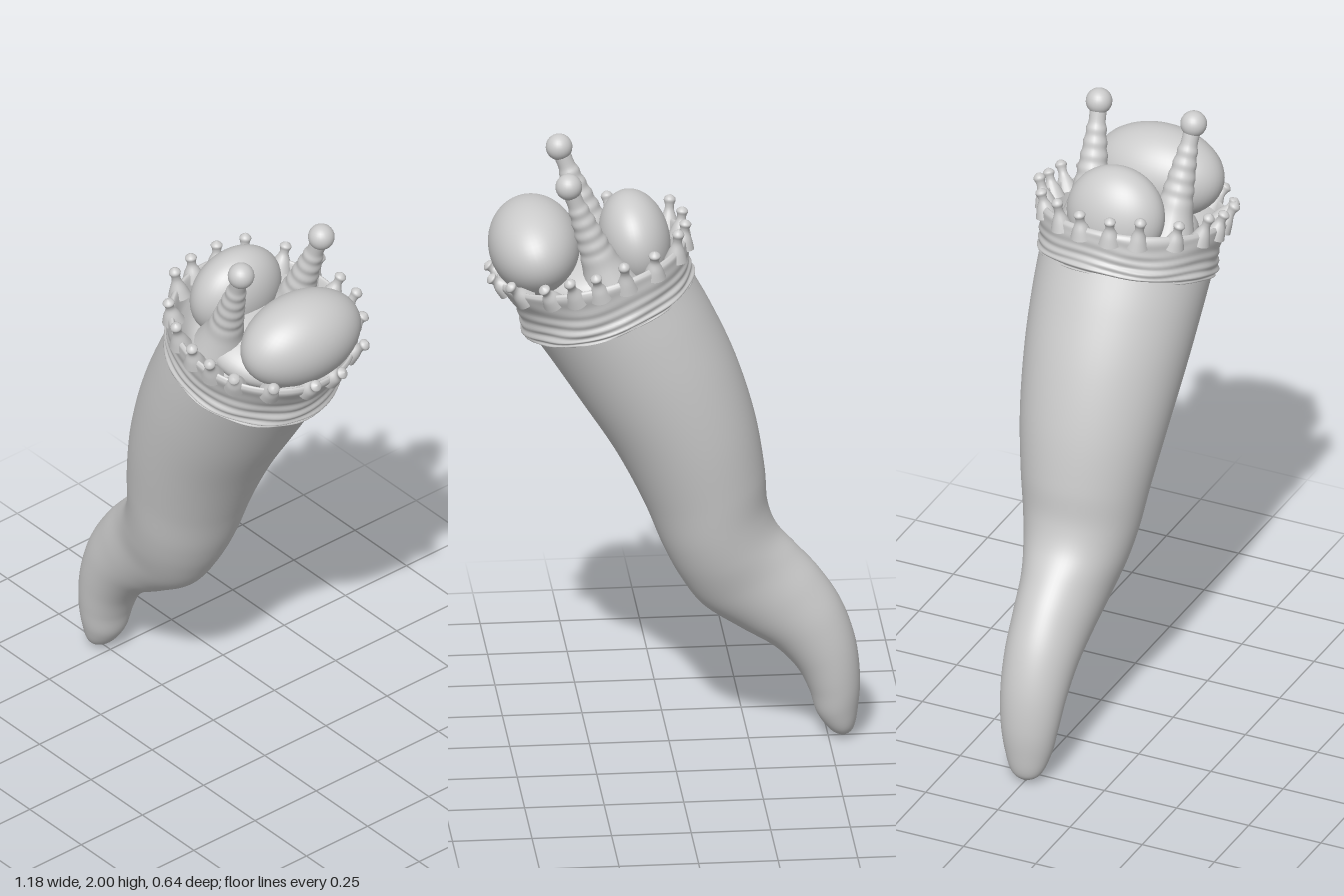
import * as THREE from 'three';

const material = new THREE.MeshStandardMaterial({ color: 0xcccccc, side: THREE.DoubleSide });

// Smooth loft through elliptical rings given as [leftX, leftY, rightX, rightY, halfDepth].
function loft(rings, steps, sides, ripple = () => 1) {
  const left = new THREE.CatmullRomCurve3(rings.map(r => new THREE.Vector3(r[0], r[1], r[4])));
  const right = new THREE.CatmullRomCurve3(rings.map(r => new THREE.Vector3(r[2], r[3], 0)));
  const pos = [], index = [];
  for (let i = 0; i <= steps; i++) {
    const t = i / steps, l = left.getPoint(t), r = right.getPoint(t);
    for (let j = 0; j < sides; j++) {
      const a = (j / sides) * Math.PI * 2, s = ripple(a, t), c = Math.cos(a) * s;
      pos.push((l.x + r.x) / 2 + c * (r.x - l.x) / 2,
        (l.y + r.y) / 2 + c * (r.y - l.y) / 2, Math.sin(a) * s * l.z);
      if (i < steps) {
        const k = (j + 1) % sides, p = i * sides, q = p + sides;
        index.push(p + j, q + j, q + k, p + j, q + k, p + k);
      }
    }
  }
  const geo = new THREE.BufferGeometry();
  geo.setAttribute('position', new THREE.Float32BufferAttribute(pos, 3));
  geo.setIndex(index);
  geo.computeVertexNormals();
  return geo;
}

// Round stalk from a [radius, height] profile, standing at base and pointing along dir.
function stalk(profile, base, dir, name) {
  const curve = new THREE.SplineCurve(profile.map(([r, h]) => new THREE.Vector2(r, h)));
  const pts = curve.getPoints(profile.length * 4);
  pts.forEach(p => { p.x = Math.max(p.x, 0); });
  const mesh = new THREE.Mesh(new THREE.LatheGeometry(pts, 20), material);
  mesh.position.copy(base);
  mesh.quaternion.setFromUnitVectors(new THREE.Vector3(0, 1, 0), dir.clone().normalize());
  mesh.name = name;
  return mesh;
}

export function createModel() {
  const model = new THREE.Group();
  model.name = 'hornCreature';
  const add = (geo, name) => {
    const mesh = new THREE.Mesh(geo, material);
    mesh.name = name;
    model.add(mesh);
    return mesh;
  };

  // Tapering, S-bent body
  add(loft([
    [-0.552, 0.0, -0.548, 0.0, 0.002],
    [-0.58, 0.03, -0.51, 0.02, 0.045],
    [-0.595, 0.11, -0.465, 0.08, 0.075],
    [-0.6, 0.2, -0.44, 0.16, 0.092],
    [-0.585, 0.33, -0.40, 0.24, 0.105],
    [-0.54, 0.46, -0.33, 0.315, 0.115],
    [-0.47, 0.57, -0.22, 0.385, 0.125],
    [-0.40, 0.65, -0.10, 0.47, 0.14],
    [-0.34, 0.72, -0.03, 0.57, 0.165],
    [-0.31, 0.80, 0.02, 0.67, 0.185],
    [-0.30, 0.92, 0.08, 0.82, 0.207],
    [-0.27, 1.10, 0.17, 1.0, 0.235],
    [-0.21, 1.30, 0.29, 1.19, 0.258],
    [-0.13, 1.48, 0.38, 1.33, 0.27],
    [-0.06, 1.61, 0.455, 1.44, 0.275],
  ], 90, 64), 'body');

  // Wrinkled collar, rolled lip and mouth floor
  const wrinkle = (a, t) => {
    const fade = Math.max(0, 1 - t / 0.5);
    return 1 + fade * (0.016 * Math.sin(t * 75 + 1.3 * Math.sin(3 * a) + Math.cos(5 * a))
      + 0.008 * Math.cos(9 * a + t * 20));
  };
  add(loft([
    [-0.066, 1.575, 0.45, 1.40, 0.272],
    [-0.077, 1.60, 0.465, 1.42, 0.285],
    [-0.065, 1.63, 0.47, 1.46, 0.283],
    [-0.06, 1.67, 0.49, 1.51, 0.287],
    [-0.055, 1.72, 0.54, 1.58, 0.297],
    [-0.04, 1.728, 0.535, 1.595, 0.287],
    [-0.02, 1.66, 0.48, 1.53, 0.255],
    [0.02, 1.60, 0.43, 1.50, 0.2],
    [0.15, 1.60, 0.3, 1.56, 0.08],
    [0.235, 1.60, 0.245, 1.59, 0.004],
  ], 80, 96, wrinkle), 'collar');

  // Knobbed fringe around the lip, mirrored front to back
  const axis = new THREE.Vector3(0.23, 0.97, 0);
  const fringe = new THREE.Group();
  fringe.name = 'fringe';
  [10, 36, 59, 75, 90, 107, 128, 152, 170].forEach((deg, i) => {
    for (const side of [1, -1]) {
      const a = THREE.MathUtils.degToRad(deg), c = Math.cos(a), s = Math.sin(a) * side;
      const base = new THREE.Vector3(0.246 + 0.292 * c, 1.655 - 0.068 * c, 0.287 * s);
      const lean = 0.35 + 0.45 * Math.max(0, c);
      const dir = axis.clone().add(new THREE.Vector3(0.97 * c, -0.23 * c, s).multiplyScalar(lean));
      const h = (i % 2 ? 0.072 : 0.06) - 0.015 * Math.max(0, c);
      fringe.add(stalk([[0.036, -0.03], [0.026, 0], [0.015, h * 0.4], [0.015, h * 0.65],
        [0.019, h * 0.85], [0.012, h], [0, h + 0.006]], base, dir, 'fringeKnob'));
    }
  });
  model.add(fringe);

  // Two bulging lobes and the flesh between them
  const lobe = (name, x, y, rx, ry, rz, tilt) => {
    const mesh = add(new THREE.SphereGeometry(1, 48, 32), name);
    mesh.position.set(x, y, 0);
    mesh.scale.set(rx, ry, rz);
    mesh.rotation.z = tilt;
  };
  lobe('smallLobe', 0.108, 1.71, 0.11, 0.155, 0.162, -0.2);
  lobe('largeLobe', 0.425, 1.70, 0.142, 0.148, 0.216, -0.3);
  lobe('mouthFlesh', 0.25, 1.60, 0.2, 0.085, 0.2, -0.25);

  // Ringed feelers with ball tips
  for (const side of [1, -1]) {
    const base = new THREE.Vector3(0.215, 1.655, 0.142 * side);
    const tip = new THREE.Vector3(0.33, 1.958, 0.164 * side);
    const dir = tip.clone().sub(base), len = dir.length();
    const profile = [[0.085, -0.04], [0.062, 0.03]];
    for (let i = 0; i < 5; i++) {
      const h = 0.07 + i * 0.042, r = 0.055 - i * 0.0055;
      profile.push([r, h], [r - 0.006, h + 0.021]);
    }
    profile.push([0.027, len - 0.03]);
    model.add(stalk(profile, base, dir, 'feeler'));
    const ball = add(new THREE.SphereGeometry(0.042, 24, 16), 'feelerTip');
    ball.position.copy(tip);
  }
  return model;
}
